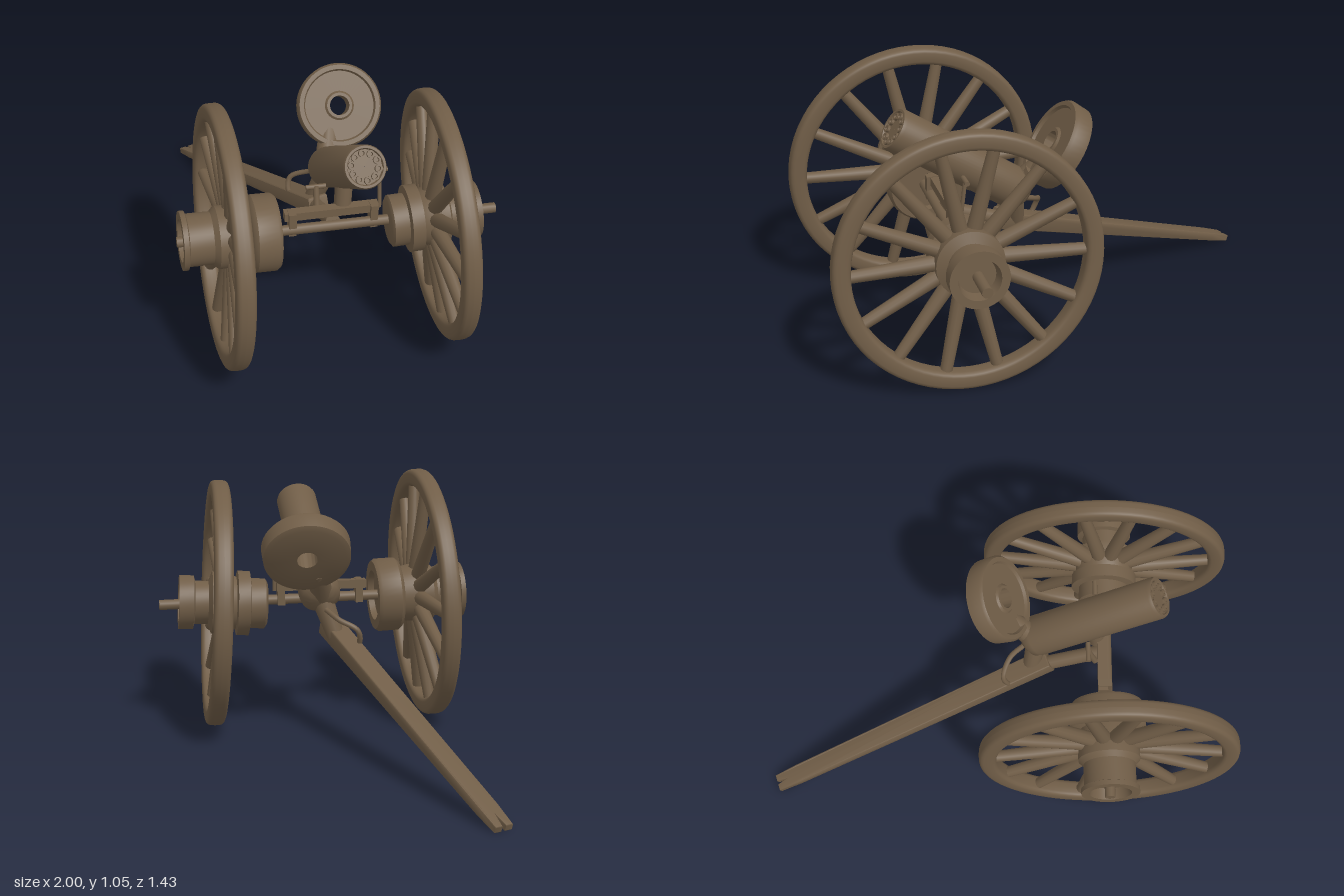
import * as THREE from 'three';
import { toCreasedNormals } from 'three/addons/utils/BufferGeometryUtils.js';

const V = (x, y, z) => new THREE.Vector3(x, y, z);
const UP = V(0, 1, 0);

export function createModel() {
  const root = new THREE.Group();
  const bronze = new THREE.MeshStandardMaterial({ color: 0x705d47 });
  bronze.name = 'agedBronze';

  const add = (parent, name, geo) => {
    const m = new THREE.Mesh(geo, bronze);
    m.name = name;
    parent.add(m);
    return m;
  };
  // Round bar from a to b
  const rod = (parent, name, a, b, ra, rb = ra, seg = 14) => {
    const d = b.clone().sub(a);
    const m = add(parent, name, new THREE.CylinderGeometry(rb, ra, d.length(), seg));
    m.position.copy(a).addScaledVector(d, 0.5);
    m.quaternion.setFromUnitVectors(UP, d.normalize());
    return m;
  };
  // Turned part from [radius, height] pairs, with crisp edges
  const turned = (pts, seg = 40, crease = 0.7) => toCreasedNormals(
    new THREE.LatheGeometry(pts.map(p => new THREE.Vector2(...p)), seg), crease);

  // Carriage frame: local x is the axle, local z points to the muzzle
  const carriage = new THREE.Group();
  carriage.name = 'carriage';
  carriage.position.set(0.315, 0, 0.018);
  carriage.rotation.y = 0.805;
  root.add(carriage);

  // Spoked wheels with dished spokes and slight camber
  const hubs = {
    left: [[0.001, -0.19], [0.1, -0.19], [0.105, -0.215], [0.145, -0.215], [0.155, -0.2],
      [0.155, -0.12], [0.142, -0.105], [0.115, -0.1], [0.125, -0.04], [0.125, 0.025],
      [0.105, 0.045], [0.105, 0.14], [0.118, 0.145], [0.118, 0.165], [0.085, 0.165],
      [0.075, 0.12], [0.001, 0.12]],
    right: [[0.001, -0.21], [0.09, -0.21], [0.105, -0.2], [0.105, -0.14], [0.135, -0.135],
      [0.135, -0.085], [0.11, -0.08], [0.13, -0.03], [0.13, 0.02], [0.09, 0.035],
      [0.09, 0.09], [0.112, 0.095], [0.112, 0.155], [0.08, 0.155], [0.07, 0.11], [0.001, 0.11]],
  };
  function makeWheel(side, radius, camber, yaw, hubProfile, y) {
    const holder = new THREE.Group();
    holder.name = side < 0 ? 'leftWheel' : 'rightWheel';
    holder.position.set(side * 0.44, y, 0);
    holder.rotation.set(0, yaw, side * camber);
    carriage.add(holder);
    const wheel = new THREE.Group();
    wheel.rotation.y = side < 0 ? Math.PI : 0;
    holder.add(wheel);

    // Rounded rim cross-section
    const rim = [];
    for (let i = 0; i <= 20; i++) {
      const a = (i / 20) * Math.PI * 2;
      const sq = v => Math.sign(v) * Math.pow(Math.abs(v), 0.6);
      rim.push(new THREE.Vector2(radius - 0.036 + 0.036 * sq(Math.cos(a)), 0.038 * sq(Math.sin(a))));
    }
    add(wheel, 'rim', new THREE.LatheGeometry(rim, 72)).rotation.z = -Math.PI / 2;
    add(wheel, 'hub', turned(hubProfile)).rotation.z = -Math.PI / 2;
    for (let i = 0; i < 14; i++) {
      const a = (i / 14) * Math.PI * 2;
      const at = (r, x) => V(x, r * Math.sin(a), r * Math.cos(a));
      rod(wheel, 'spoke', at(0.09, -0.035), at(radius - 0.05, 0), 0.031, 0.023, 12);
    }
  }
  makeWheel(-1, 0.525, 0.026, 0.015, hubs.left, 0.532);
  makeWheel(1, 0.51, 0.055, -0.025, hubs.right, 0.522);

  // Axle, cross beam and their fittings
  rod(carriage, 'axle', V(-0.62, 0.53, 0), V(0.675, 0.522, 0), 0.021);
  const beam = add(carriage, 'crossBeam', new THREE.BoxGeometry(0.38, 0.035, 0.04));
  beam.position.set(0, 0.585, -0.02);
  for (const x of [-0.16, 0.17]) {
    const bracket = add(carriage, 'beamBracket', new THREE.BoxGeometry(0.03, 0.1, 0.05));
    bracket.position.set(x, 0.555, -0.01);
  }
  rod(carriage, 'sightPost', V(0.2, 0.57, -0.03), V(0.2, 0.74, -0.05), 0.008);
  rod(carriage, 'sightBar', V(0.17, 0.735, -0.05), V(0.23, 0.735, -0.05), 0.01);
  rod(carriage, 'elevatingPost', V(-0.05, 0.57, -0.05), V(-0.05, 0.67, -0.08), 0.012);
  rod(carriage, 'elevatingBar', V(-0.09, 0.665, -0.08), V(-0.01, 0.665, -0.08), 0.01);
  rod(carriage, 'barrelPedestal', V(0.05, 0.56, -0.04), V(0.06, 0.72, -0.06), 0.035);

  // Barrel housing with a ring of bores at the muzzle
  const rear = V(0.125, 0.595, -0.23), muzzle = V(0.505, 0.925, 0.1);
  const aim = muzzle.clone().sub(rear).normalize();
  const len = muzzle.distanceTo(rear);
  const gun = new THREE.Group();
  gun.name = 'gun';
  gun.position.copy(rear);
  gun.quaternion.setFromUnitVectors(UP, aim);
  root.add(gun);
  add(gun, 'barrelHousing', turned([[0.001, -0.03], [0.05, -0.025], [0.078, 0], [0.084, 0.03],
    [0.084, len - 0.012], [0.079, len], [0.07, len], [0.066, len - 0.01], [0.001, len - 0.01]]));
  for (let i = 0; i < 10; i++) {
    const a = (i / 10) * Math.PI * 2;
    const bore = add(gun, 'bore', turned([[0.015, -0.03], [0.015, 0.006], [0.008, 0.006],
      [0.007, -0.008], [0.001, -0.008]], 12));
    bore.position.set(0.052 * Math.cos(a), len - 0.006, 0.052 * Math.sin(a));
  }

  // Drum magazine standing above the breech
  const drumAxis = V(0.572, 0.545, 0.613).normalize();
  const drum = add(root, 'drumMagazine', turned([[0.04, -0.075], [0.15, -0.075], [0.17, -0.065],
    [0.174, 0], [0.166, 0.012], [0.148, 0.012], [0.142, 0], [0.06, 0], [0.052, 0.008],
    [0.04, 0.008], [0.04, -0.075]], 48));
  drum.position.set(0.1, 0.82, -0.355);
  drum.quaternion.setFromUnitVectors(UP, drumAxis);
  rod(root, 'drumMount', V(0.08, 0.72, -0.31), V(0.13, 0.61, -0.22), 0.04, 0.05);

  // Trail: tapering beam with a forked foot
  const head = V(0.14, 0.46, -0.15), foot = V(-0.982, 0.02, -0.683);
  const dir = foot.clone().sub(head);
  const L = dir.length();
  dir.normalize();
  const outline = new THREE.Shape([[0, -0.038], [L - 0.1, -0.034], [L, -0.03], [L, -0.012],
    [L - 0.06, 0], [L, 0.012], [L, 0.03], [L - 0.1, 0.034], [0, 0.038]]
    .map(p => new THREE.Vector2(...p)));
  const trailGeo = new THREE.ExtrudeGeometry(outline, { depth: 0.05, bevelSize: 0.006,
    bevelThickness: 0.01, bevelSegments: 2 });
  trailGeo.translate(0, 0, -0.025);
  const p = trailGeo.attributes.position;
  for (let i = 0; i < p.count; i++) {
    const t = THREE.MathUtils.clamp((p.getX(i) / L - 0.6) / 0.4, 0, 1);
    p.setZ(i, p.getZ(i) * (1 - 0.6 * t));
  }
  const trail = add(root, 'trail', toCreasedNormals(trailGeo, 0.6));
  const across = UP.clone().cross(dir).normalize();
  trail.quaternion.setFromRotationMatrix(
    new THREE.Matrix4().makeBasis(dir, across, dir.clone().cross(across)));
  trail.position.copy(head);

  // Links from trail to breech and axle, and the crank handle
  rod(root, 'breechSupport', V(0.08, 0.43, -0.19), V(0.14, 0.6, -0.21), 0.035, 0.045);
  rod(root, 'trailLink', V(0.1, 0.44, -0.17), V(0.315, 0.54, 0.01), 0.03);
  const crank = new THREE.CatmullRomCurve3([V(0.09, 0.55, -0.24), V(0.02, 0.52, -0.25),
    V(-0.05, 0.48, -0.22), V(-0.04, 0.42, -0.2), V(-0.01, 0.4, -0.21)]);
  add(root, 'crankHandle', new THREE.TubeGeometry(crank, 20, 0.011, 8));

  return root;
}
